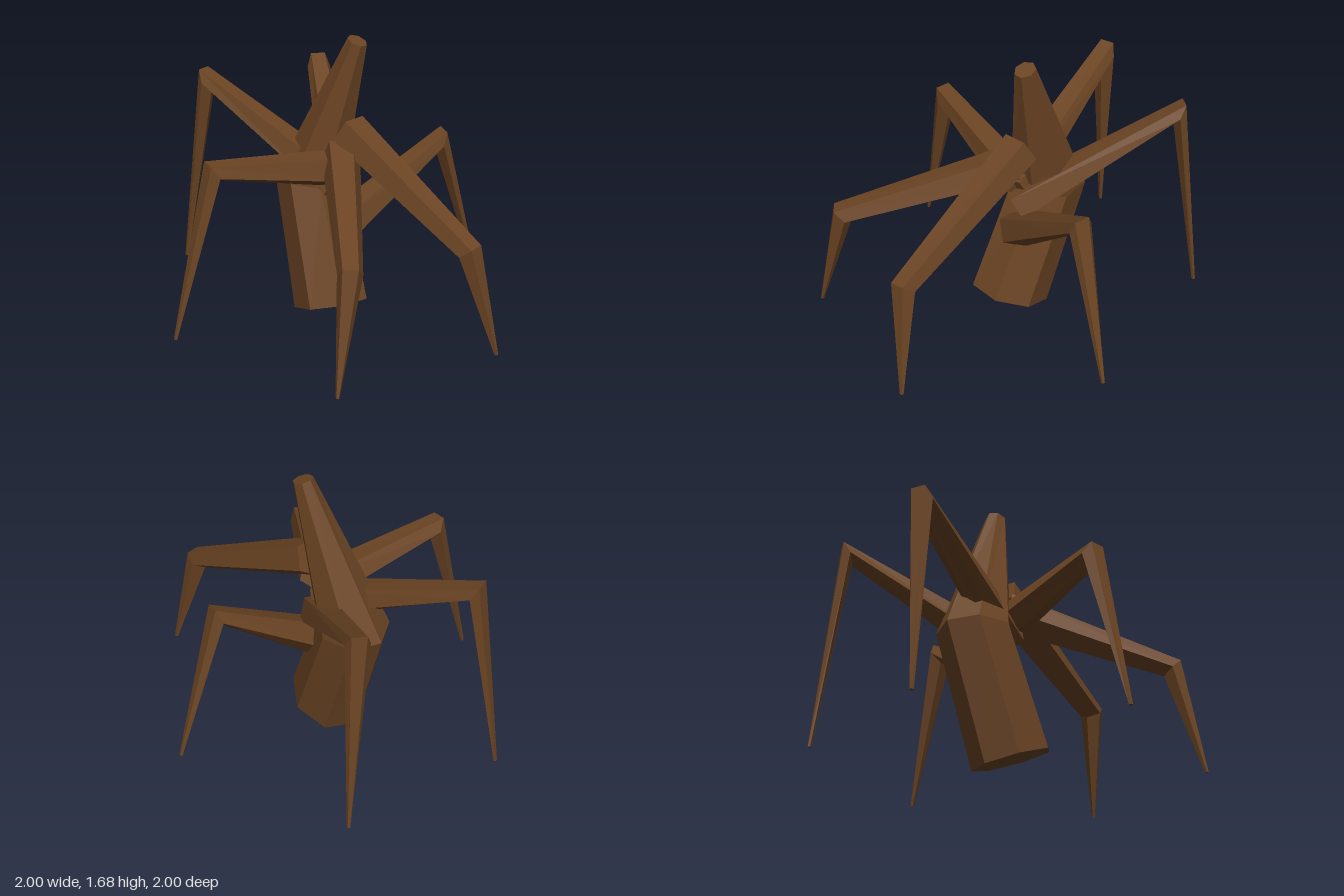
import * as THREE from 'three';

const V = (x, y, z) => new THREE.Vector3(x, y, z);

// Faceted limb: a ring of `sides` corners at each point, mitred at the bends, capped at both ends.
function limb(points, radii, sides, side, phase, aspect = 1) {
  const pos = [], idx = [];
  const last = points.length - 1;
  points.forEach((p, k) => {
    const n = V(0, 0, 0);
    if (k > 0) n.add(p.clone().sub(points[k - 1]).normalize());
    if (k < last) n.add(points[k + 1].clone().sub(p).normalize());
    n.normalize();
    const s = side.clone().addScaledVector(n, -side.dot(n)).normalize();
    const u = s.clone().cross(n);
    for (let i = 0; i < sides; i++) {
      const a = phase + (i / sides) * Math.PI * 2;
      const q = p.clone()
        .addScaledVector(s, Math.cos(a) * radii[k])
        .addScaledVector(u, Math.sin(a) * radii[k] * aspect);
      pos.push(q.x, q.y, q.z);
    }
  });
  for (let k = 0; k < last; k++) {
    for (let i = 0; i < sides; i++) {
      const a = k * sides + i, b = k * sides + (i + 1) % sides;
      idx.push(a, a + sides, b, b, a + sides, b + sides);
    }
  }
  for (let i = 1; i < sides - 1; i++) {
    const t = last * sides;
    idx.push(0, i, i + 1, t, t + i + 1, t + i);
  }
  const geo = new THREE.BufferGeometry();
  geo.setAttribute('position', new THREE.Float32BufferAttribute(pos, 3));
  geo.setIndex(idx);
  const flat = geo.toNonIndexed();
  flat.computeVertexNormals();
  return flat;
}

export function createModel() {
  const group = new THREE.Group();
  const bark = new THREE.MeshStandardMaterial({ color: 0x6b4423 });
  bark.name = 'brown bark';

  const add = (name, geo) => {
    const mesh = new THREE.Mesh(geo, bark);
    mesh.name = name;
    group.add(mesh);
  };

  // Bent, tapering seven-sided trunk
  add('trunk', limb(
    [V(0, 0.08, 0), V(0, 0.78, -0.26), V(0.16, 1.655, 0)],
    [0.215, 0.2, 0.056], 7, V(1, 0, 0), 0, 1.13));

  // Six five-sided roots: name, inner end, knee, tip, twist in degrees
  const roots = [
    ['leftRoot', V(0.07, 0.56, 0), V(0.72, 0.975, -0.005), V(0.99, 0.08, 0), -8],
    ['rightRoot', V(0.08, 0.91, 0), V(-0.73, 1.045, -0.005), V(-0.99, 0.08, 0), 6],
    ['frontLeftRoot', V(0.11, 1.13, 0), V(0.365, 0.69, 0.885), V(0.495, 0.08, 0.99), 0],
    ['frontRightRoot', V(0.06, 1.0, 0), V(-0.365, 0.73, 0.885), V(-0.495, 0.08, 0.99), 0],
    ['backLeftRoot', V(0.07, 0.73, 0), V(0.38, 1.235, -0.885), V(0.495, 0.08, -0.99), 0],
    ['backRightRoot', V(0.04, 0.82, 0), V(-0.365, 1.26, -0.885), V(-0.495, 0.08, -0.99), 0],
  ];
  for (const [name, start, knee, tip, twist] of roots) {
    const side = knee.clone().sub(start).cross(V(0, 1, 0)).normalize();
    const phase = THREE.MathUtils.degToRad(twist - 90);
    add(name, limb([start, knee, tip], [0.115, 0.072, 0.011], 5, side, phase));
  }
  return group;
}
